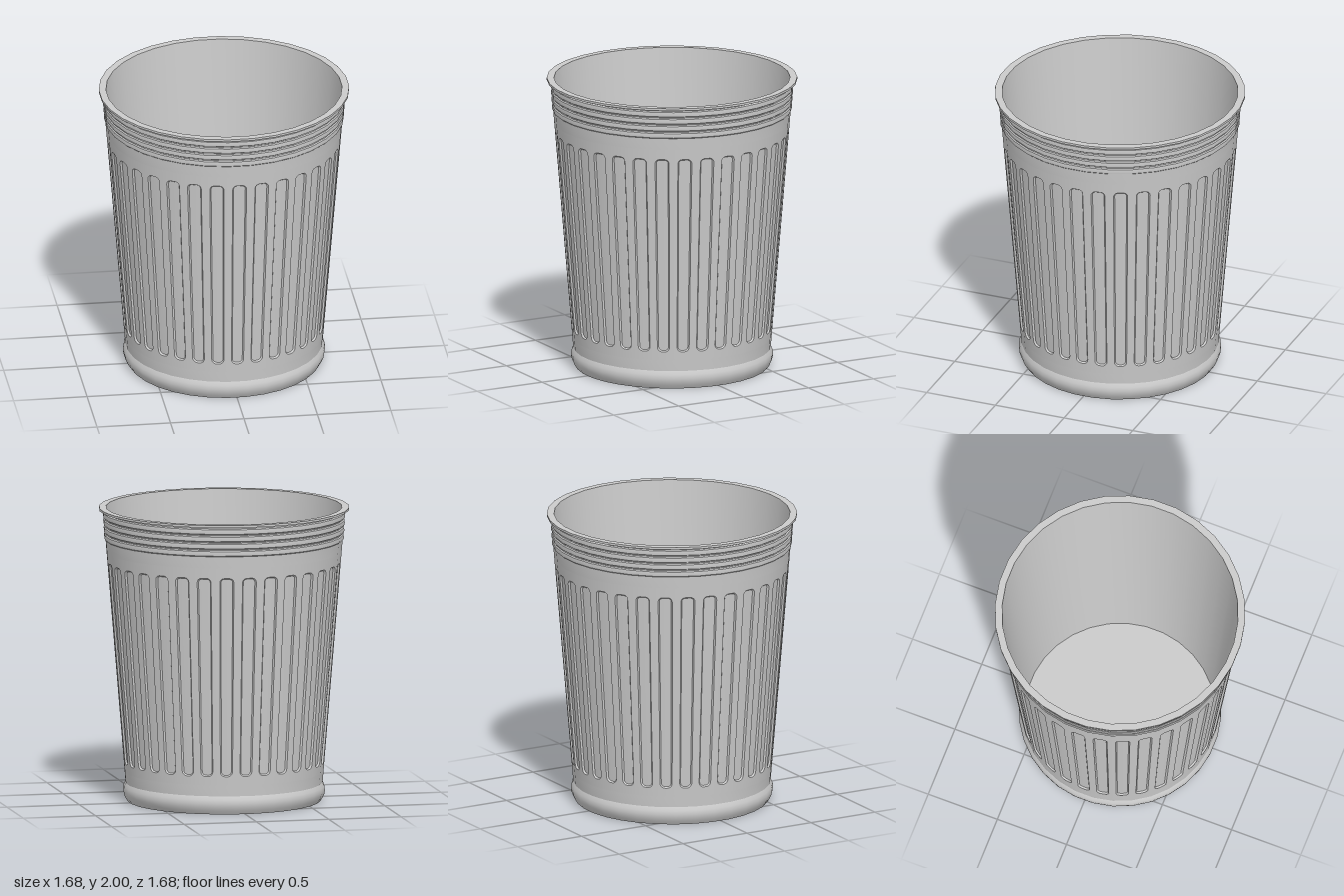
import * as THREE from 'three';
import { mergeGeometries, toCreasedNormals } from 'three/addons/utils/BufferGeometryUtils.js';

const SIDES = 32;
const HALF = Math.PI / SIDES;
const LOW = 0.2, HIGH = 1.7; // height range of the fluted wall
const SLOPE = 0.135 / 1.65;
const radius = (y) => 0.667 + SLOPE * (y - 0.13);
const apothem = (y) => radius(y) * Math.cos(HALF);
const halfFace = (y) => radius(y) * Math.sin(HALF);

// Rounded, tapering outline of one flute, shrunk by inset
function fluteOutline(inset) {
  const y0 = 0.26 + inset, y1 = 1.63 - inset;
  const half = (y) => halfFace(y) * 0.62 - inset;
  const points = [];
  const corner = (sx, y, r, start) => {
    for (let i = 0; i <= 5; i++) {
      const a = start + (i / 5) * Math.PI / 2;
      points.push(new THREE.Vector2(sx * (half(y) - r) + r * Math.cos(a), y + r * Math.sin(a)));
    }
  };
  const rb = 0.034 - inset, rt = 0.03 - inset;
  corner(1, y1 - rt, rt, 0);
  corner(-1, y1 - rt, rt, Math.PI / 2);
  corner(-1, y0 + rb, rb, Math.PI);
  corner(1, y0 + rb, rb, Math.PI * 1.5);
  return points;
}

// Lay a flat shape onto the leaning wall face, with normals rounded around the bin
function layOnWall(shape, depth) {
  const g = new THREE.ShapeGeometry(shape);
  const p = g.attributes.position, n = g.attributes.normal, v = new THREE.Vector3();
  for (let i = 0; i < p.count; i++) {
    const x = p.getX(i), y = p.getY(i), z = apothem(y) - depth;
    p.setZ(i, z);
    v.set(x, 0, z).normalize().setY(-SLOPE).normalize();
    n.setXYZ(i, v.x, v.y, v.z);
  }
  g.deleteAttribute('uv');
  return g.toNonIndexed();
}

// One wall face with a sunken flute: surround, sloping edge, floor
function wallFace() {
  const depth = 0.012;
  const outer = fluteOutline(0), inner = fluteOutline(0.008);
  const surround = new THREE.Shape([
    new THREE.Vector2(-halfFace(LOW), LOW), new THREE.Vector2(halfFace(LOW), LOW),
    new THREE.Vector2(halfFace(HIGH), HIGH), new THREE.Vector2(-halfFace(HIGH), HIGH),
  ]);
  surround.holes.push(new THREE.Path(outer));

  const strip = [];
  const at = (p, d) => [p.x, p.y, apothem(p.y) - d];
  outer.forEach((p, i) => {
    const j = (i + 1) % outer.length;
    const a = at(p, 0), b = at(outer[j], 0), c = at(inner[j], depth), d = at(inner[i], depth);
    strip.push(...a, ...b, ...c, ...a, ...c, ...d);
  });
  let edge = new THREE.BufferGeometry();
  edge.setAttribute('position', new THREE.Float32BufferAttribute(strip, 3));
  edge = toCreasedNormals(edge, 0.6);

  return mergeGeometries([layOnWall(surround, 0), edge, layOnWall(new THREE.Shape(inner), depth)]);
}

// Turned part, with a flat side facing the front
function turned(profile) {
  const points = profile.map(([r, y]) => new THREE.Vector2(r, y));
  return toCreasedNormals(new THREE.LatheGeometry(points, SIDES, HALF), 0.5);
}

export function createModel() {
  const group = new THREE.Group();
  const material = new THREE.MeshStandardMaterial({ color: 0xcccccc });
  const add = (name, geometry) => {
    const mesh = new THREE.Mesh(geometry, material);
    mesh.name = name;
    group.add(mesh);
  };

  // Base with a rounded foot
  add('base', turned([
    [0, 0], [0.652, 0], [0.668, 0.025], [0.679, 0.05], [0.683, 0.075],
    [0.679, 0.1], [radius(0.125), 0.125], [radius(LOW), LOW],
  ]));

  // Fluted wall
  const face = wallFace();
  const faces = [];
  for (let i = 0; i < SIDES; i++) faces.push(face.clone().rotateY(i * 2 * HALF));
  add('flutedWall', mergeGeometries(faces));

  // Collar of stacked ribs under the rim
  const collar = [[radius(HIGH), HIGH], [radius(1.78), 1.78]];
  for (let i = 0; i < 4; i++) {
    const y = 1.78 + i * 0.05, r = 0.811 + i * 0.003;
    collar.push([r - 0.002, y + 0.006], [r, y + 0.02], [r - 0.002, y + 0.036], [r - 0.009, y + 0.043], [r - 0.009, y + 0.05]);
  }
  collar.push([0.812, 1.985]);
  add('ribbedCollar', turned(collar));

  // Flat rim
  add('rim', turned([[0.812, 1.985], [0.845, 1.985], [0.845, 2], [0.797, 2]]));

  // Smooth inside and floor
  add('lining', turned([[0.797, 2], [0.645, 0.03], [0, 0.03]]));

  return group;
}
